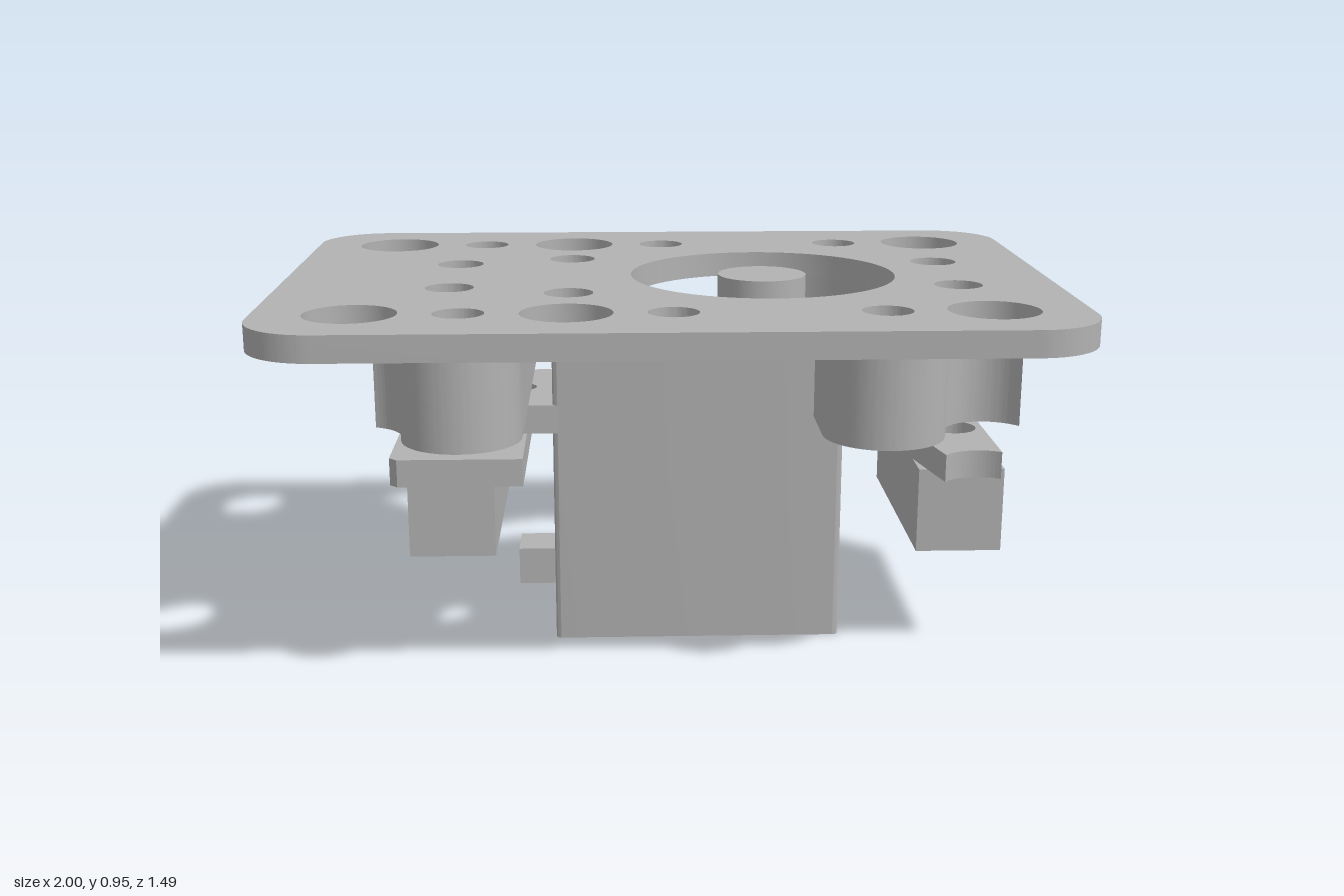
import * as THREE from 'three';
import { toCreasedNormals } from 'three/addons/utils/BufferGeometryUtils.js';

const PI = Math.PI;

export function createModel() {
  const model = new THREE.Group();
  const grey = new THREE.MeshStandardMaterial({ color: 0xb2b2b2 });

  const add = (name, geometry) => {
    const mesh = new THREE.Mesh(geometry, grey);
    mesh.name = name;
    model.add(mesh);
    return mesh;
  };
  // Extrude a floor-plan shape upwards from y0 to y1
  const slab = (name, shape, y0, y1) => {
    let g = new THREE.ExtrudeGeometry(shape, { depth: y1 - y0, bevelEnabled: false, curveSegments: 32 });
    g.rotateX(-PI / 2).translate(0, y0, 0);
    return add(name, toCreasedNormals(g, 0.5));
  };
  const hole = (shape, x, z, r) => {
    const p = new THREE.Path();
    p.absarc(x, z, r, 0, PI * 2, true);
    shape.holes.push(p);
  };
  const hexHole = (shape, x, z, r) => {
    const p = new THREE.Path();
    for (let i = 0; i < 6; i++) {
      const a = -i * PI / 3 + PI / 2;
      p[i ? 'lineTo' : 'moveTo'](x + r * Math.cos(a), z + r * Math.sin(a));
    }
    p.closePath();
    shape.holes.push(p);
  };
  const rect = (x0, x1, z0, z1, r = 0) => {
    const s = new THREE.Shape();
    if (!r) {
      s.moveTo(x0, z0).lineTo(x1, z0).lineTo(x1, z1).lineTo(x0, z1).closePath();
      return s;
    }
    s.absarc(x1 - r, z0 + r, r, -PI / 2, 0);
    s.absarc(x1 - r, z1 - r, r, 0, PI / 2);
    s.absarc(x0 + r, z1 - r, r, PI / 2, PI);
    s.absarc(x0 + r, z0 + r, r, PI, PI * 1.5);
    s.closePath();
    return s;
  };

  const big = 0.112, small = 0.062, row = 0.51, nutZ = 0.177;
  const nutX = { left: 0.745, right: -0.56 };

  // Top plate with its hole pattern
  const top = rect(-1, 1, -0.745, 0.745, 0.18);
  for (const s of [-1, 1]) {
    for (const x of [-0.765, -0.255, 0.765]) hole(top, x, s * row, big);
    for (const x of [-0.51, 0, 0.51]) hole(top, x, s * row, small);
    for (const x of [nutX.left, nutX.right]) hole(top, x, s * nutZ, small);
    hole(top, -0.255, s * 0.255, small);
  }
  hole(top, 0.255, 0, 0.35);
  slab('topPlate', top, 0.885, 0.95);

  // Support walls: a screw post at each end, scooped beside the large holes
  const a = Math.acos(0.09 / 0.11);
  const wallL = new THREE.Shape();
  wallL.absarc(0.508, -row, 0.148, PI, PI * 2, false);
  wallL.absarc(0.766, -row, 0.11, PI, a, true);
  wallL.absarc(0.766, row, 0.11, -a, -PI, true);
  wallL.absarc(0.508, row, 0.148, 0, PI, false);
  const b = Math.acos(0.105 / 0.35);
  wallL.absarc(0.255, 0, 0.35, b, -b, true);
  wallL.closePath();

  const c = Math.acos(0.035 / 0.11);
  const wallR = new THREE.Shape();
  wallR.absarc(-0.51, row, 0.145, 0, PI, false);
  wallR.absarc(-0.765, row, 0.11, 0, -c, true);
  wallR.absarc(-0.765, -row, 0.11, c, 0, true);
  wallR.absarc(-0.51, -row, 0.145, PI, PI * 2, false);
  wallR.closePath();

  for (const [side, wall, postX] of [['left', wallL, 0.51], ['right', wallR, -0.51]]) {
    for (const s of [-1, 1]) {
      hole(wall, postX, s * row, small);
      hole(wall, nutX[side], s * nutZ, small);
    }
    slab(side + 'SupportWall', wall, 0.645, 0.885);
  }

  // Clamp plates under the motor ears
  const d = Math.asin(0.07 / 0.11);
  const e = Math.acos(0.06 / 0.11);
  const clampL = new THREE.Shape();
  clampL.moveTo(0.49, -0.44);
  clampL.absarc(0.765, -row, 0.11, PI - d, e, true);
  clampL.absarc(0.765, row, 0.11, -e, -PI + d, true);
  clampL.lineTo(0.49, 0.44).closePath();

  const f = Math.acos(0.065 / 0.11);
  const clampR = new THREE.Shape();
  clampR.moveTo(-0.37, -0.44).lineTo(-0.37, 0.44);
  clampR.absarc(-0.765, row, 0.11, -d, -f, true);
  clampR.absarc(-0.765, -row, 0.11, f, d, true);
  clampR.closePath();

  for (const [side, clamp] of [['left', clampL], ['right', clampR]]) {
    const x = nutX[side];
    // Nut block: round bores above, hexagonal pockets below
    const upper = rect(x - 0.11, x + 0.11, -0.33, 0.33);
    const lower = rect(x - 0.11, x + 0.11, -0.33, 0.33);
    for (const s of [-1, 1]) {
      hole(clamp, x, s * nutZ, small);
      hole(upper, x, s * nutZ, small);
      hexHole(lower, x, s * nutZ, 0.11);
    }
    slab(side + 'ClampPlate', clamp, 0.5, 0.57);
    slab(side + 'NutBlock', upper, 0.38, 0.5);
    slab(side + 'NutPockets', lower, 0.28, 0.38);
  }

  // Motor: body, ears, output shaft and cable exit
  slab('motorBody', rect(-0.303, 0.455, -0.205, 0.205, 0.015), 0, 0.795);
  const earL = rect(0.44, 0.625, -0.205, 0.205);
  hole(earL, 0.545, 0, 0.039);
  slab('leftMotorEar', earL, 0.57, 0.645);
  const earR = rect(-0.47, -0.29, -0.205, 0.205);
  hole(earR, -0.39, 0, 0.039);
  slab('rightMotorEar', earR, 0.57, 0.645);
  add('outputShaft', new THREE.CylinderGeometry(0.117, 0.117, 0.16, 48)).position.set(0.253, 0.87, 0);
  add('cableExit', new THREE.BoxGeometry(0.115, 0.1, 0.13)).position.set(-0.3475, 0.155, 0);

  return model;
}
